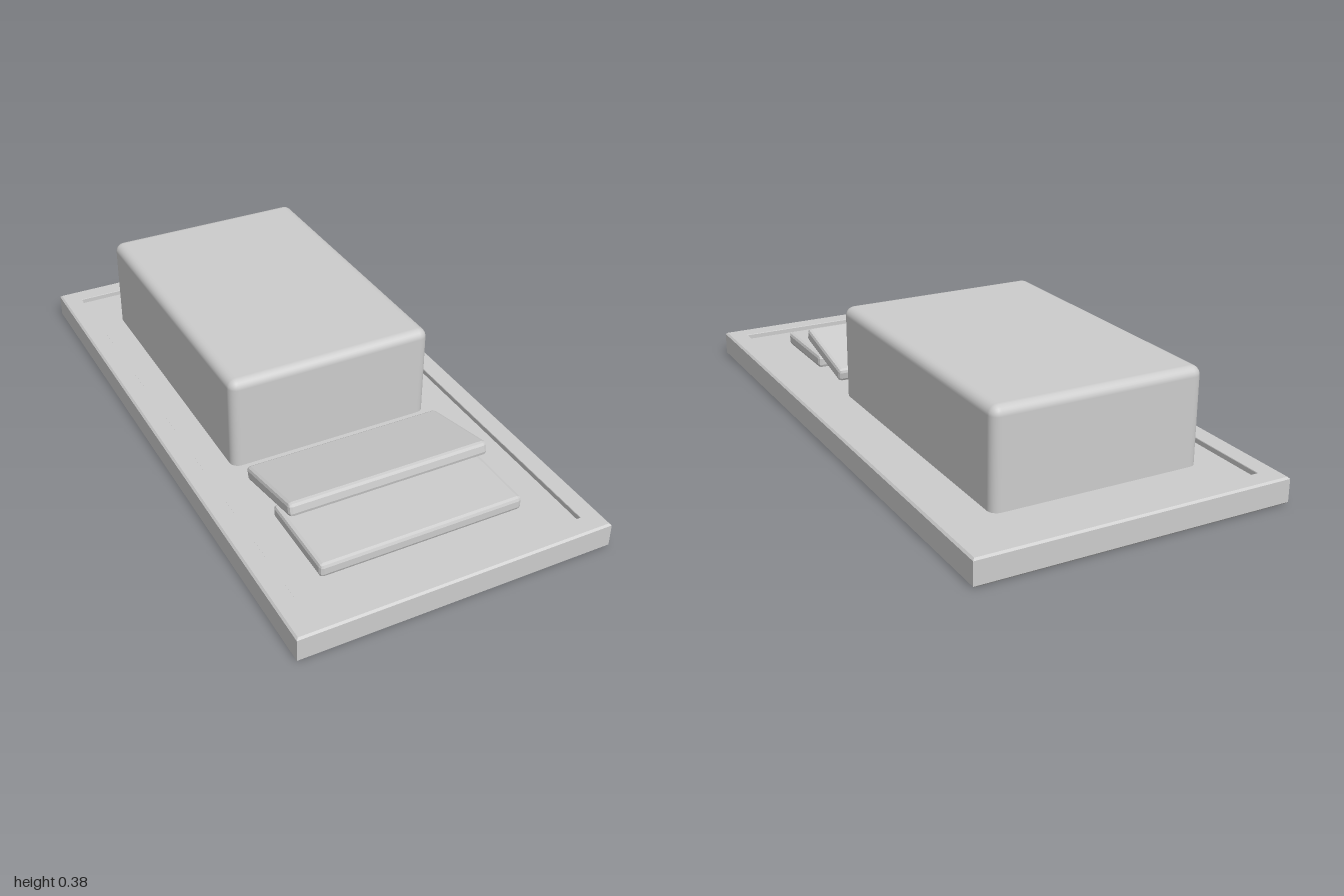
import * as THREE from 'three';
import { RoundedBoxGeometry } from 'three/addons/geometries/RoundedBoxGeometry.js';

const material = new THREE.MeshStandardMaterial({ color: 0xcccccc });
const flatMaterial = new THREE.MeshStandardMaterial({ color: 0xcccccc, flatShading: true });

// Closed solid from stacked rectangles; each ring is [inset from the edge, height].
function ringSolid(width, depth, rings) {
  const pos = [];
  const index = [];
  for (const [inset, y] of rings) {
    const x = width / 2 - inset;
    const z = depth / 2 - inset;
    pos.push(-x, y, z, x, y, z, x, y, -z, -x, y, -z);
  }
  for (let r = 0; r < rings.length - 1; r++) {
    for (let i = 0; i < 4; i++) {
      const a = r * 4 + i;
      const b = r * 4 + ((i + 1) % 4);
      index.push(a, b, b + 4, a, b + 4, a + 4);
    }
  }
  const t = (rings.length - 1) * 4;
  index.push(0, 2, 1, 0, 3, 2, t, t + 1, t + 2, t, t + 2, t + 3);
  const geometry = new THREE.BufferGeometry();
  geometry.setAttribute('position', new THREE.Float32BufferAttribute(pos, 3));
  geometry.setIndex(index);
  const flat = geometry.toNonIndexed();
  flat.computeVertexNormals();
  return flat;
}

export function createModel() {
  const group = new THREE.Group();
  const add = (name, geometry, mat, x, y, z) => {
    const mesh = new THREE.Mesh(geometry, mat);
    mesh.name = name;
    mesh.position.set(x, y, z);
    group.add(mesh);
    return mesh;
  };

  // Tray with softened outer edges and a shallow recess
  const trayRings = [
    [0.006, 0], [0, 0.006], [0, 0.079], [0.006, 0.085],
    [0.064, 0.085], [0.065, 0.083], [0.065, 0.068],
  ];
  add('tray', ringSolid(1.03, 2, trayRings), flatMaterial, 0, 0, 0);

  // Block, its lower edge sunk into the tray
  add('butterBlock', new RoundedBoxGeometry(0.695, 0.35, 1.02, 3, 0.03), material, -0.008, 0.205, -0.27);

  // Two cut slices, the rear one leaning on the front one
  const slice = new RoundedBoxGeometry(0.675, 0.046, 0.305, 1, 0.012);
  add('frontSlice', slice, flatMaterial, -0.008, 0.092, 0.657);
  add('leaningSlice', slice, flatMaterial, -0.008, 0.134, 0.467).rotation.x = -0.22;

  return group;
}
